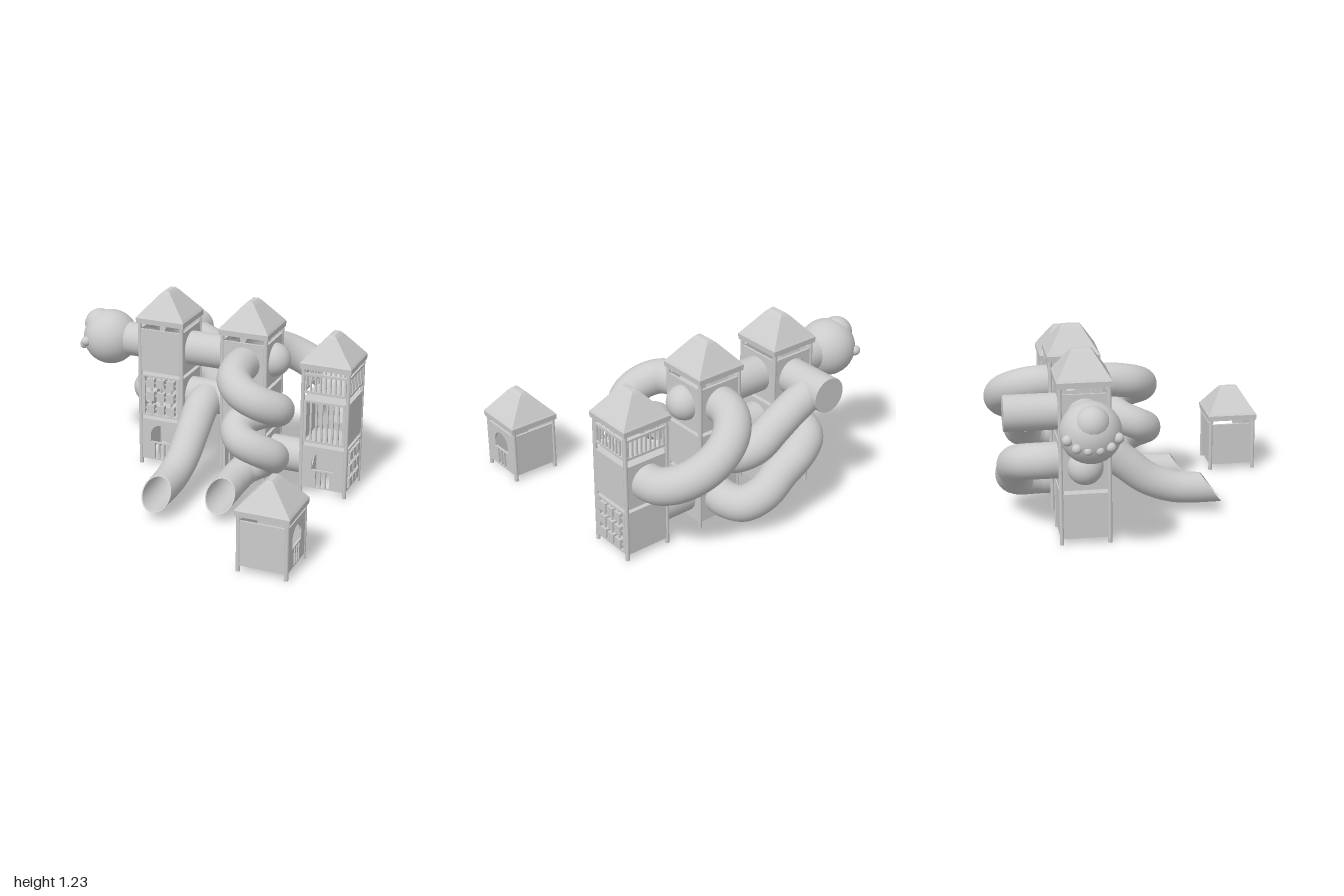
import * as THREE from 'three';

const mat = new THREE.MeshStandardMaterial({ color: 0xcccccc, side: THREE.DoubleSide });
const V = (a) => new THREE.Vector3(...a);
const W = 0.284;       // panel width between posts
const OFF = 0.152;     // tower centre to post centre
const TUBE = 0.115;    // tube radius
const LEVELS = [[0.04, 0.335], [0.36, 0.655], [0.68, 0.98]];
const LOW = 0.185, MID = 0.51, HIGH = 0.838; // tube heights at each level

function add(parent, name, geo, x = 0, y = 0, z = 0) {
  const m = new THREE.Mesh(geo, mat);
  m.name = name;
  m.position.set(x, y, z);
  parent.add(m);
  return m;
}

const box = (parent, name, w, h, d, x, y, z = 0) => add(parent, name, new THREE.BoxGeometry(w, h, d), x, y, z);

const rectPath = (x0, y0, x1, y1) => new THREE.Path([[x0, y0], [x0, y1], [x1, y1], [x1, y0]].map((p) => new THREE.Vector2(...p)));

// Flat board with cut-outs
function board(parent, name, y0, y1, holes = []) {
  const s = new THREE.Shape([[-W / 2, y0], [W / 2, y0], [W / 2, y1], [-W / 2, y1]].map((p) => new THREE.Vector2(...p)));
  s.holes.push(...holes);
  add(parent, name, new THREE.ExtrudeGeometry(s, { depth: 0.014, bevelEnabled: false, curveSegments: 14 }), 0, 0, -0.007);
}

const panels = {
  solid: (g, y0, y1) => board(g, 'solidPanel', y0, y1),
  // round opening where a tube or bubble joins
  hole: (g, y0, y1) => {
    const c = y0 < 0.2 ? LOW : y0 < 0.5 ? MID : HIGH;
    board(g, 'tubePanel', y0, y1, [new THREE.Path().absarc(0, c, 0.112, 0, Math.PI * 2, true)]);
  },
  // arched window above three slots
  arch: (g, y0, y1) => {
    const a = new THREE.Path();
    a.moveTo(-0.077, y0 + 0.13);
    a.lineTo(0.077, y0 + 0.13);
    a.lineTo(0.077, y0 + 0.18);
    a.absarc(0, y0 + 0.18, 0.077, 0, Math.PI, false);
    a.closePath();
    board(g, 'archPanel', y0, y1, [a, ...[-1, 0, 1].map((i) => rectPath(i * 0.036 - 0.012, y0 + 0.008, i * 0.036 + 0.012, y0 + 0.122))]);
  },
  // row of upright slots
  bars: (g, y0, y1) => {
    const slots = [];
    for (let i = -3; i <= 3; i++) slots.push(rectPath(i * 0.037 - 0.012, y0 + 0.015, i * 0.037 + 0.012, y1 - 0.015));
    board(g, 'barPanel', y0, y1, slots);
  },
  // three by three turning blocks on rods
  blocks: (g, y0, y1) => {
    board(g, 'blockFrame', y0, y1, [rectPath(-0.118, y0 + 0.012, 0.118, y1 - 0.012)]);
    const yc = (y0 + y1) / 2;
    for (let i = -1; i <= 1; i++) {
      box(g, 'blockRod', 0.014, y1 - y0 - 0.02, 0.012, i * 0.073, yc);
      box(g, 'crossRod', 0.24, 0.01, 0.01, 0, yc + i * 0.094);
      for (let j = -1; j <= 1; j++) box(g, 'turningBlock', 0.056, 0.062, 0.036, i * 0.073, yc + j * 0.094);
    }
  },
  // low open railing
  rail: (g) => {
    box(g, 'railTop', W, 0.016, 0.016, 0, 0.832);
    box(g, 'railBottom', W, 0.016, 0.016, 0, 0.71);
    for (let i = -4; i <= 4; i++) box(g, 'railBar', 0.011, 0.12, 0.011, i * 0.033, 0.771);
  },
};

// Hipped roof: each row of box vertices takes its own half widths and height
function roofGeometry() {
  const rows = [[0.171, 0.171, 0], [0.173, 0.173, 0.036], [0.163, 0.163, 0.05], [0.036, 0.07, 0.192], [0.016, 0.055, 0.209]];
  const geo = new THREE.BoxGeometry(2, 4, 2, 1, 4, 1);
  const p = geo.attributes.position;
  for (let i = 0; i < p.count; i++) {
    const [hx, hz, y] = rows[Math.round(p.getY(i) + 2)];
    p.setXYZ(i, p.getX(i) * hx, y, p.getZ(i) * hz);
  }
  const flat = geo.toNonIndexed();
  flat.computeVertexNormals();
  return flat;
}

// sides: front, right (+x), back, -x, each a list of panels from the bottom up
function tower(parent, name, x, z, eave, sides) {
  const g = new THREE.Group();
  g.name = name;
  g.position.set(x, 0, z);
  parent.add(g);
  for (const sx of [-1, 1]) for (const sz of [-1, 1]) {
    add(g, 'post', new THREE.CylinderGeometry(0.0135, 0.0135, eave, 12), sx * OFF, eave / 2, sz * OFF);
  }
  sides.forEach((list, k) => {
    const side = new THREE.Group();
    side.name = 'side';
    side.rotation.y = k * Math.PI / 2;
    g.add(side);
    list.forEach((kind, level) => {
      const face = new THREE.Group();
      face.name = kind + 'Face';
      face.position.z = OFF;
      side.add(face);
      panels[kind](face, ...LEVELS[level]);
    });
  });
  for (let i = 1; i < sides[0].length; i++) box(g, 'deck', 0.3, 0.014, 0.3, 0, LEVELS[i - 1][1] - 0.007);
  add(g, 'roof', roofGeometry(), 0, eave, 0);
}

// Tube through points; radius runs from r0 to r1; an open end is cut on a slant with a thick lip
function tube(parent, name, pts, r0 = TUBE, r1 = r0, slant = 0, inner = false) {
  const curve = new THREE.CatmullRomCurve3(pts.map(V), false, 'centripetal');
  const n = pts.length * 7, sides = 28;
  const geo = new THREE.TubeGeometry(curve, n, 1, sides, false);
  const p = geo.attributes.position;
  for (let i = 0; i <= n; i++) {
    const c = curve.getPointAt(i / n), r = r0 + (r1 - r0) * i / n;
    const cut = Math.max(0, 1 - (n - i) / 5) * slant;
    for (let j = 0; j <= sides; j++) {
      const k = i * (sides + 1) + j;
      const v = new THREE.Vector3().fromBufferAttribute(p, k).sub(c).multiplyScalar(r);
      p.setXYZ(k, c.x + v.x, c.y + v.y, c.z + v.z - cut * v.y);
    }
  }
  add(parent, name, geo);
  if (slant && !inner) {
    tube(parent, name + 'Lining', pts, r0 - 0.008, r1 - 0.008, slant, true);
    const lip = add(parent, name + 'Lip', new THREE.RingGeometry(r1 - 0.008, r1, sides), ...pts[pts.length - 1]);
    const lp = lip.geometry.attributes.position;
    for (let i = 0; i < lp.count; i++) lp.setZ(i, -slant * lp.getY(i));
    lip.geometry.computeVertexNormals();
  }
}

export function createModel() {
  const root = new THREE.Group();
  root.name = 'playground';
  const X1 = -0.364, X2 = 0.232, X3 = 0.798, Z = -0.4;

  // Towers and the separate hut
  tower(root, 'leftTower', X1, Z, 1.02, [['arch', 'blocks', 'solid'], ['solid', 'hole', 'hole'], ['solid', 'hole', 'hole'], ['solid', 'hole', 'hole']]);
  tower(root, 'middleTower', X2, Z, 1.02, [['bars', 'solid', 'hole'], ['hole', 'solid', 'hole'], ['hole', 'hole', 'hole'], ['solid', 'hole', 'hole']]);
  tower(root, 'rightTower', X3, Z, 0.87, [['arch', 'bars', 'rail'], ['blocks', 'solid', 'rail'], ['solid', 'hole', 'rail'], ['hole', 'solid', 'rail']]);
  tower(root, 'hut', 0.829, 0.786, 0.365, [['solid'], ['arch'], ['solid'], ['solid']]);

  // Straight tunnels
  const tunnel = (name, y, xa, xb) => tube(root, name, [[xa, y, Z], [(xa + xb) / 2, y, Z], [xb, y, Z]]);
  tunnel('headTunnel', HIGH, -0.72, X1 - OFF);
  tunnel('highTunnel', HIGH, X1 + OFF, X2 - OFF);
  tunnel('middleTunnel', MID, X1 + OFF, X2 - OFF);
  tunnel('lowTunnel', LOW, X2 + OFF, X3 - OFF);

  // Bubble windows
  for (const [x, y, a] of [[X1 - OFF + 0.005, MID, Math.PI / 2], [X2 + OFF, HIGH, -Math.PI / 2]]) {
    const b = add(root, 'bubbleWindow', new THREE.SphereGeometry(0.114, 28, 12, 0, Math.PI * 2, 0, Math.PI / 2), x, y, Z);
    b.rotation.z = a;
  }

  // Animal head at the tunnel end
  const head = new THREE.Group();
  head.name = 'animalHead';
  head.position.set(-0.81, 0.833, Z);
  root.add(head);
  const ball = (name, r, x, y, z) => add(head, name, new THREE.SphereGeometry(r, 28, 20), x, y, z);
  ball('headBall', 0.187, 0, 0, 0);
  ball('forehead', 0.106, -0.08, 0.08, 0);
  for (const s of [-1, 1]) {
    ball('cheekBall', 0.033, -0.115, -0.005, s * 0.15);
    ball('sideBall', 0.03, -0.155, -0.045, s * 0.1);
    ball('chinBall', 0.027, -0.163, -0.06, s * 0.035);
  }

  // Back tubes linking the towers
  const loop = [[X2, HIGH, Z - OFF]];
  for (let i = 0; i <= 12; i++) {
    const a = Math.PI * (1 - i / 12), t = i / 12;
    loop.push([0.515 + 0.283 * Math.cos(a), HIGH - (HIGH - MID) * t * t * (3 - 2 * t), -0.575 - 0.275 * Math.sin(a)]);
  }
  loop.push([X3, MID, Z - OFF]);
  tube(root, 'backLoop', loop);
  tube(root, 'backStub', [[X1, 0.83, Z - OFF], [X1, 0.83, -0.72], [X1, 0.83, -0.89]]);
  add(root, 'backStubCap', new THREE.CircleGeometry(TUBE, 28), X1, 0.83, -0.89).rotation.y = Math.PI;
  tube(root, 'upperBackTube', [[X1, 0.82, -0.75], [-0.2, 0.75, -0.75], [-0.04, 0.66, -0.75], [0.1, 0.575, -0.745],
    [0.195, 0.53, -0.69], [X2, MID, -0.61], [X2, MID, Z - OFF]], 0.107, TUBE);
  tube(root, 'lowerBackTube', [[X1, MID, Z - OFF], [X1, MID, -0.64], [-0.31, 0.49, -0.75], [-0.19, 0.44, -0.806],
    [-0.06, 0.36, -0.806], [0.08, 0.26, -0.806], [0.19, 0.2, -0.75], [X2, LOW, -0.64], [X2, LOW, Z - OFF]]);

  // Straight slide from the middle tunnel
  tube(root, 'straightSlide', [[-0.067, MID, -0.36], [-0.067, 0.485, -0.25], [-0.067, 0.37, -0.1], [-0.067, 0.245, 0.06],
    [-0.067, 0.18, 0.22], [-0.067, 0.163, 0.35], [-0.067, 0.16, 0.48]], 0.116, 0.1, 0.73);

  // Spiral slide from the middle tower
  tube(root, 'spiralSlide', [[X2, HIGH, Z + OFF], [0.236, 0.835, -0.13], [0.265, 0.81, 0], [0.35, 0.765, 0.075], [0.46, 0.715, 0.075],
    [0.545, 0.66, 0], [0.53, 0.62, -0.085], [0.43, 0.58, -0.115], [0.335, 0.545, -0.06], [0.305, 0.5, 0.045], [0.36, 0.455, 0.11],
    [0.45, 0.41, 0.1], [0.53, 0.35, 0.03], [0.52, 0.295, -0.05], [0.43, 0.24, -0.075], [0.345, 0.2, -0.02], [0.318, 0.175, 0.1],
    [0.315, 0.165, 0.23], [0.315, 0.16, 0.345]], 0.113, 0.1, 0.73);
  return root;
}
